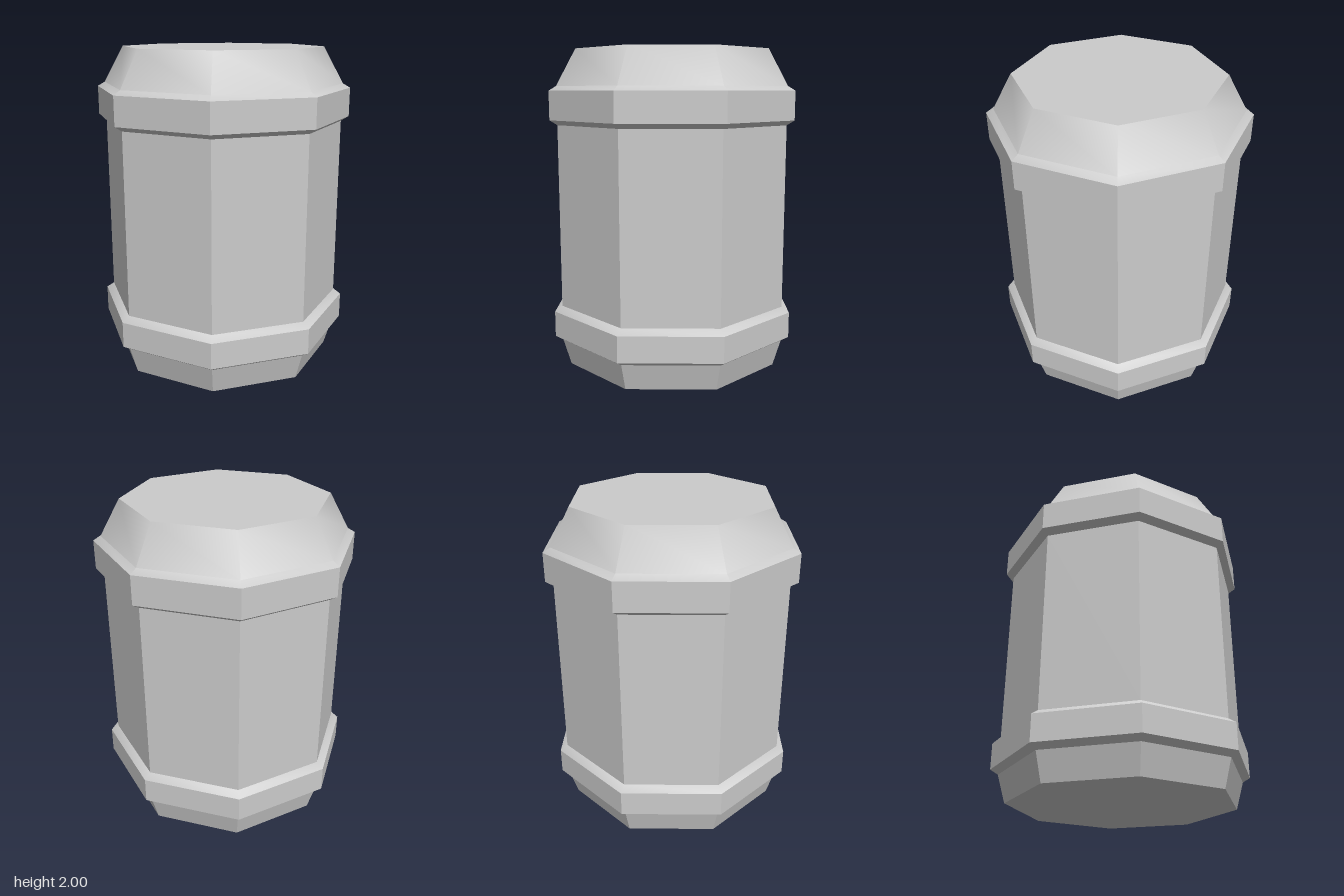
import * as THREE from 'three';
import { toCreasedNormals } from 'three/addons/utils/BufferGeometryUtils.js';

const SIDES = 8;
const CREASE = THREE.MathUtils.degToRad(41);
const material = new THREE.MeshStandardMaterial({ color: 0xcccccc });

// Eight-sided turned part; profile is [radius, height] from bottom to top
function turned(name, profile) {
  const points = profile.map(([r, y]) => new THREE.Vector2(r, y));
  const geometry = new THREE.LatheGeometry(points, SIDES);
  const mesh = new THREE.Mesh(toCreasedNormals(geometry, CREASE), material);
  mesh.name = name;
  return mesh;
}

export function createModel() {
  const group = new THREE.Group();
  group.name = 'barrel';

  const wall = 0.755; // body corner radius
  const rim = 0.803; // band corner radius

  group.add(
    // Tapered foot with closed underside
    turned('base', [[0, 0], [0.705, 0], [wall, 0.17]]),
    // Lower band, bevelled above and below
    turned('lowerBand', [[wall, 0.17], [rim, 0.2], [rim, 0.362], [wall, 0.395]]),
    // Straight body
    turned('body', [[wall, 0.395], [wall, 1.54]]),
    // Upper band, bevelled below
    turned('upperBand', [[wall, 1.54], [rim, 1.57], [rim, 1.748]]),
    // Sloped lid with flat top
    turned('lid', [[rim, 1.748], [0.757, 1.775], [0.632, 2], [0, 2]]),
  );
  return group;
}
